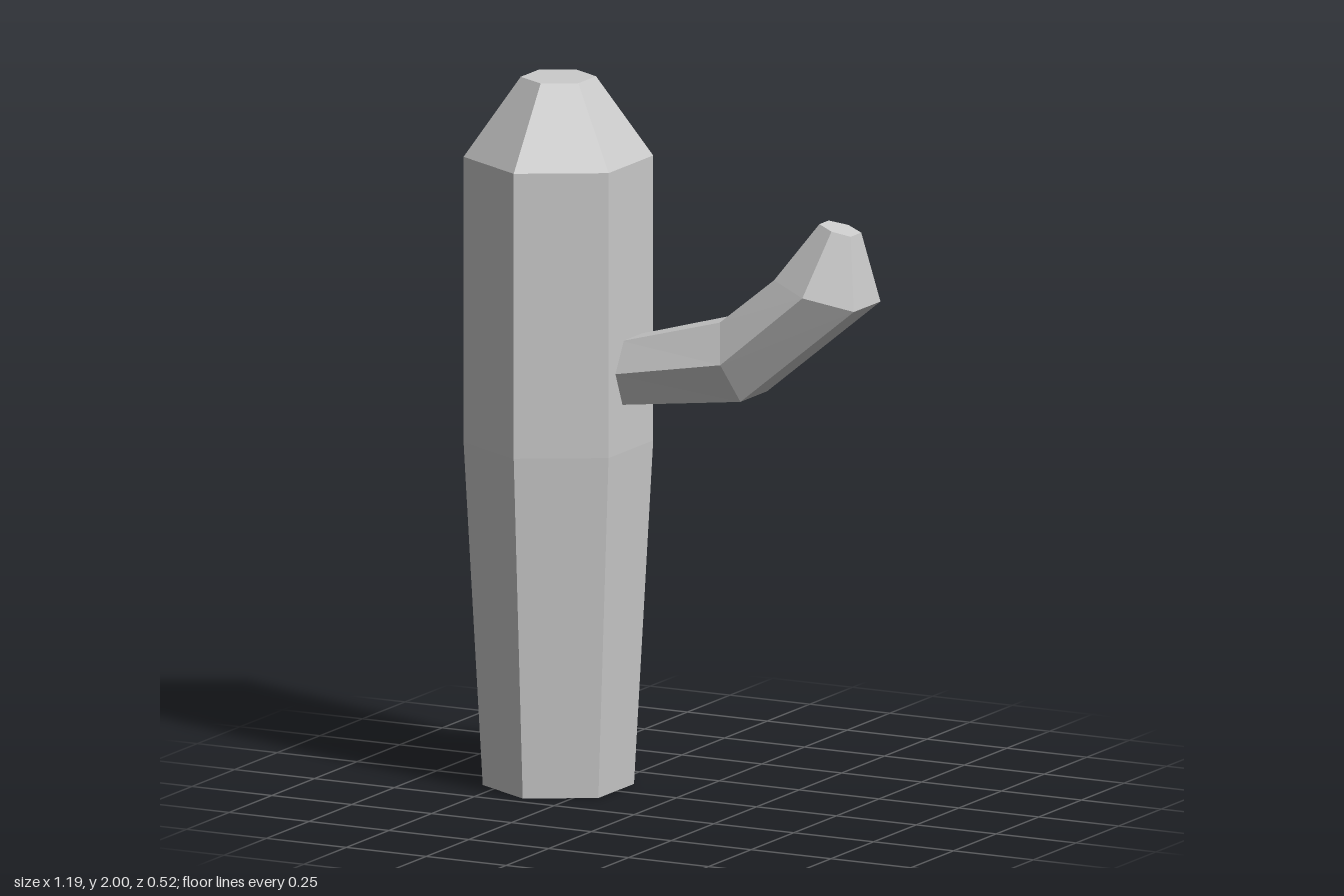
import * as THREE from 'three';

const material = new THREE.MeshStandardMaterial({ color: 0xcccccc, flatShading: true });

// Six-cornered cross-section: [x, y, half depth] for its upper, middle and lower corner pairs
function ring(pairs, zc) {
  const front = pairs.map(([x, y, h]) => [x, y, zc + h]);
  const back = pairs.map(([x, y, h]) => [x, y, zc - h]).reverse();
  return [...front, ...back];
}

// Skin a row of rings and cap both ends
function loft(rings) {
  const pos = [];
  const tri = (a, b, c) => pos.push(...a, ...b, ...c);
  const n = rings[0].length;
  for (let s = 0; s < rings.length - 1; s++) {
    const a = rings[s], b = rings[s + 1];
    for (let i = 0; i < n; i++) {
      const j = (i + 1) % n;
      tri(a[i], a[j], b[j]);
      tri(a[i], b[j], b[i]);
    }
  }
  const first = rings[0], last = rings[rings.length - 1];
  for (let i = 1; i < n - 1; i++) {
    tri(first[0], first[i + 1], first[i]);
    tri(last[0], last[i], last[i + 1]);
  }
  const geo = new THREE.BufferGeometry();
  geo.setAttribute('position', new THREE.Float32BufferAttribute(pos, 3));
  geo.computeVertexNormals();
  return geo;
}

export function createModel() {
  const group = new THREE.Group();
  group.name = 'cactus';

  // Hexagonal trunk, tapering to the foot and bevelled at the top
  const profile = [[0, 0], [0.209, 0], [0.262, 0.97], [0.262, 1.775], [0.104, 2], [0, 2]]
    .map(([r, y]) => new THREE.Vector2(r, y));
  const trunk = new THREE.Mesh(new THREE.LatheGeometry(profile, 6), material);
  trunk.name = 'trunk';
  trunk.position.x = -0.37;
  group.add(trunk);

  // Side arm bending upward to a narrow tip
  const sections = [
    [[-0.15, 1.283, 0.053], [-0.15, 1.198, 0.102], [-0.15, 1.104, 0.061]],
    [[0.165, 1.37, 0.068], [0.2, 1.265, 0.131], [0.235, 1.155, 0.078]],
    [[0.335, 1.507, 0.068], [0.457, 1.48, 0.131], [0.59, 1.445, 0.078]],
    [[0.455, 1.67, 0.027], [0.505, 1.658, 0.05], [0.555, 1.645, 0.031]],
  ];
  const arm = new THREE.Mesh(loft(sections.map((s) => ring(s, -0.012))), material);
  arm.name = 'arm';
  group.add(arm);

  return group;
}
